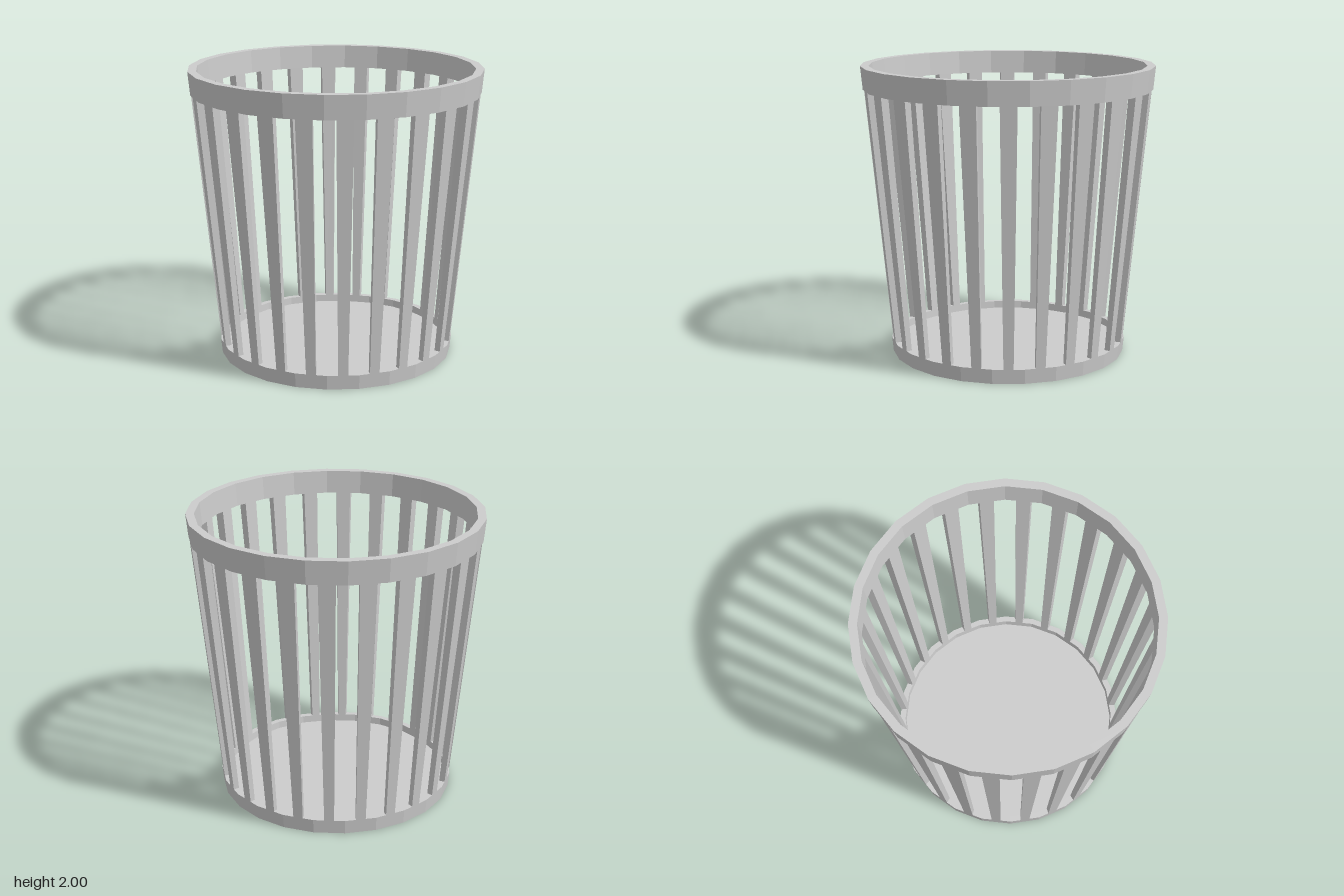
import * as THREE from 'three';

const SIDES = 24;
const HALF_STEP = Math.PI / SIDES;
const SLOT_HALF = 0.073;   // half width of each parallel-sided slot
const SLOT_LOW = 0.1;
const SLOT_HIGH = 1.84;

// Tapered wall: outer and inner corner radius at height y
const outer = (y) => 0.81 + 0.095 * y;
const inner = (y) => 0.77 + 0.0865 * y;

const material = new THREE.MeshStandardMaterial({ color: 0xcccccc, flatShading: true });

function lathe(name, profile) {
  const points = profile.map(([r, y]) => new THREE.Vector2(r, y));
  const mesh = new THREE.Mesh(new THREE.LatheGeometry(points, SIDES), material);
  mesh.name = name;
  return mesh;
}

// A box bent onto one facet of the wall, leaving half a slot free on each side
function slatGeometry() {
  const geometry = new THREE.BoxGeometry(1, 1, 1);
  const p = geometry.attributes.position;
  for (let i = 0; i < p.count; i++) {
    const y = p.getY(i) > 0 ? SLOT_HIGH : SLOT_LOW;
    const r = p.getZ(i) > 0 ? outer(y) : inner(y);
    const halfWidth = r * Math.sin(HALF_STEP) - SLOT_HALF / Math.cos(HALF_STEP);
    p.setXYZ(i, Math.sign(p.getX(i)) * halfWidth, y, r * Math.cos(HALF_STEP));
  }
  geometry.computeVertexNormals();
  return geometry;
}

export function createModel() {
  const basket = new THREE.Group();
  basket.name = 'basket';

  // Solid floor with a low raised edge
  const floorY = 0.05;
  basket.add(lathe('base', [
    [0, 0], [outer(0), 0], [outer(SLOT_LOW), SLOT_LOW],
    [inner(SLOT_LOW), SLOT_LOW], [inner(floorY), floorY], [0, floorY],
  ]));

  // Closed band around the top
  basket.add(lathe('rim', [
    [inner(SLOT_HIGH), SLOT_HIGH], [outer(SLOT_HIGH), SLOT_HIGH],
    [outer(2), 2], [inner(2), 2], [inner(SLOT_HIGH), SLOT_HIGH],
  ]));

  // One slat in the middle of every facet
  const slats = new THREE.Group();
  slats.name = 'slats';
  const geometry = slatGeometry();
  for (let i = 0; i < SIDES; i++) {
    const slat = new THREE.Mesh(geometry, material);
    slat.name = 'slat';
    slat.rotation.y = (2 * i + 1) * HALF_STEP;
    slats.add(slat);
  }
  basket.add(slats);

  return basket;
}
